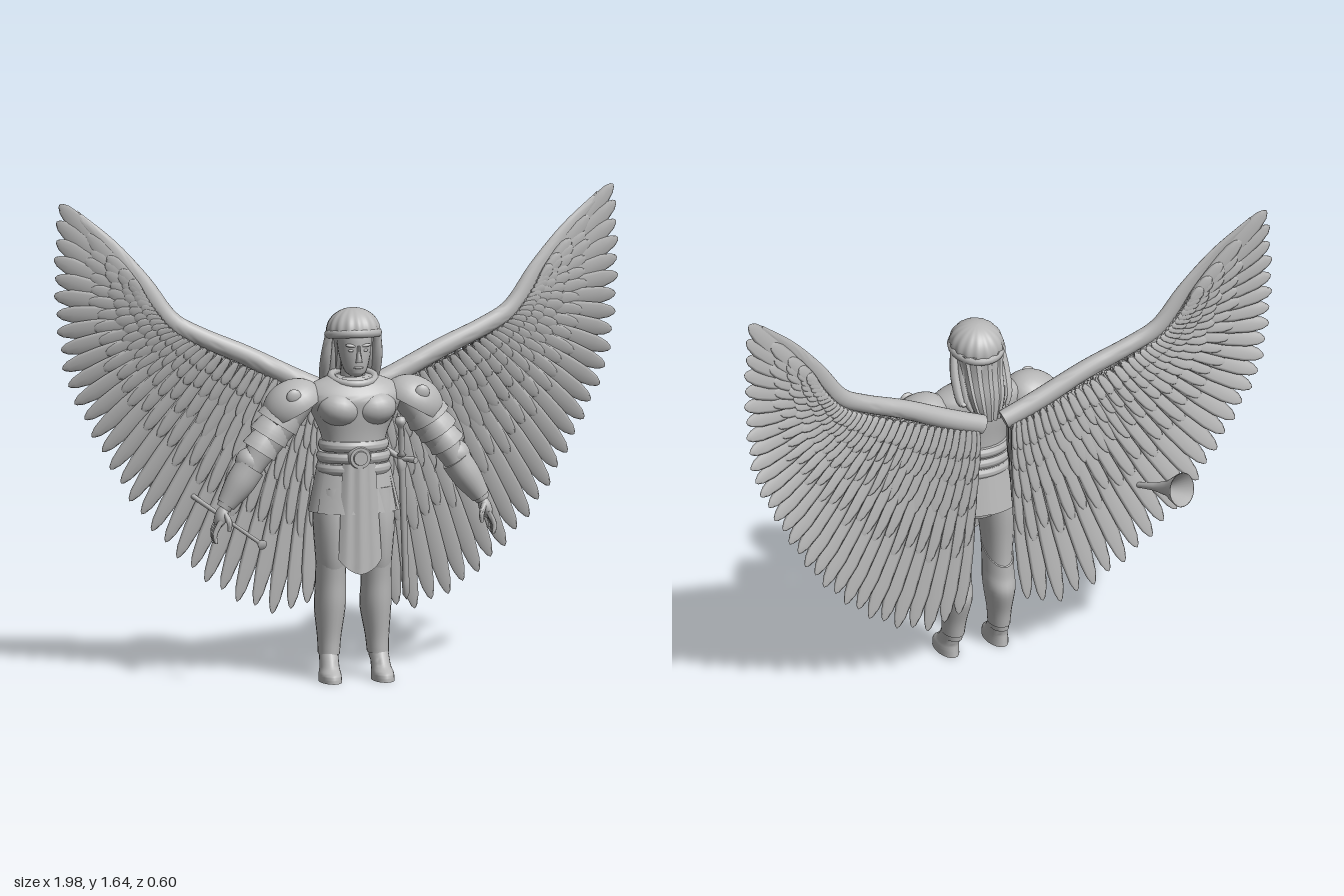
import * as THREE from 'three';
import { mergeGeometries, toCreasedNormals } from 'three/addons/utils/BufferGeometryUtils.js';

const V = (x, y, z) => new THREE.Vector3(x, y, z);
const V2 = (x, y) => new THREE.Vector2(x, y);

export function createModel() {
  const model = new THREE.Group();
  const stone = new THREE.MeshStandardMaterial({ color: 0xb8b8b8, side: THREE.DoubleSide });
  stone.name = 'stone grey';

  function add(name, geo, parent = model) {
    const m = new THREE.Mesh(geo, stone);
    m.name = name;
    parent.add(m);
    return m;
  }

  // Smooth loft through stations [x, y, z, rx, rz]; flat keeps every ring horizontal
  function loft(st, { flat = false, seg = 20, steps = 5, warp } = {}) {
    const path = new THREE.CatmullRomCurve3(st.map(p => V(p[0], p[1], p[2])), false, 'catmullrom');
    const radii = new THREE.CatmullRomCurve3(st.map(p => V(p[3], p[4] ?? p[3], 0)), false, 'catmullrom');
    const n = (st.length - 1) * steps, pos = [], idx = [];
    for (let j = 0; j <= n; j++) {
      const c = path.getPoint(j / n), r = radii.getPoint(j / n);
      const t = flat ? V(0, 1, 0) : path.getTangent(j / n);
      const side = t.clone().cross(V(0, 0, 1)).normalize(), fwd = side.clone().cross(t);
      for (let i = 0; i < seg; i++) {
        const a = i / seg * Math.PI * 2;
        const p = c.clone().addScaledVector(side, Math.cos(a) * r.x).addScaledVector(fwd, Math.sin(a) * r.y);
        if (warp) warp(p, j / n, a);
        pos.push(p.x, p.y, p.z);
        const k = j * seg + i, q = j * seg + (i + 1) % seg;
        if (j < n) idx.push(k, k + seg, q, q, k + seg, q + seg);
      }
    }
    for (const j of [0, n]) {
      const c = path.getPoint(j / n), id = pos.length / 3;
      pos.push(c.x, c.y, c.z);
      for (let i = 0; i < seg; i++) {
        const k = j * seg + i, q = j * seg + (i + 1) % seg;
        idx.push(id, j ? q : k, j ? k : q);
      }
    }
    const g = new THREE.BufferGeometry();
    g.setAttribute('position', new THREE.Float32BufferAttribute(pos, 3));
    g.setIndex(idx);
    return toCreasedNormals(g, 0.8);
  }

  function ball(name, p, r, rotZ = 0) {
    const m = add(name, new THREE.SphereGeometry(1, 20, 14));
    m.position.set(...p);
    m.scale.set(...r);
    m.rotation.z = rotZ;
    return m;
  }

  // Group whose +y axis runs from a to b
  function axis(name, a, b) {
    const g = new THREE.Group();
    g.name = name;
    g.position.copy(a);
    g.quaternion.setFromUnitVectors(V(0, 1, 0), b.clone().sub(a).normalize());
    model.add(g);
    return g;
  }
  const lathe = (pts, seg = 20) => new THREE.LatheGeometry(pts.map(p => V2(...p)), seg);

  // Torso, cuirass and belt
  add('torso', loft([[0, .55, .095, .07, .07], [0, .62, .095, .125, .085], [0, .72, .095, .12, .09], [0, .8, .1, .108, .085],
    [0, .86, .1, .118, .088], [0, .93, .1, .15, .097], [0, .98, .1, .168, .1], [0, 1.02, .09, .15, .085],
    [0, 1.05, .085, .085, .06]], { flat: true, seg: 32 }));
  for (const s of [-1, 1]) ball('chestPlate', [s * .06, .945, .145], [.078, .062, .072], s * .15);
  const collar = add('collar', new THREE.TorusGeometry(.075, .014, 8, 28));
  collar.position.set(0, 1.045, .09);
  collar.rotation.x = Math.PI / 2 + .2;
  [[.735, .124], [.775, .122], [.815, .116]].forEach(([y, r], i) =>
    add('belt' + i, loft([[0, y - .018, .097, r, .094], [0, y, .097, r + .007, .102], [0, y + .018, .097, r, .094]],
      { flat: true, seg: 32 })));
  for (const [r, z] of [[.042, .197], [.028, .205]]) {
    const b = add('buckle', new THREE.CylinderGeometry(r * .85, r, .022, 24));
    b.position.set(0, .78, z);
    b.rotation.x = Math.PI / 2;
  }

  // Flared skirt panels around the hips and the long front tabard
  for (let i = 0; i < 6; i++) {
    const g = new THREE.CylinderGeometry(.122, .157 + (i % 2) * .006, .18, 10, 3, true, i * Math.PI / 3 + .02, Math.PI / 3 + .04);
    const m = add('skirtPanel', g);
    m.position.set(0, .675, .093);
    m.scale.z = .71;
  }
  const cloth = new THREE.PlaneGeometry(1, 1, 16, 10), cp = cloth.attributes.position;
  for (let i = 0; i < cp.count; i++) {
    const u = cp.getX(i) * 2, t = .5 - cp.getY(i);
    cp.setXYZ(i, u * (.058 + .018 * t), .76 - t * (.38 - .05 * u * u), .203 + .018 * t - .018 * u * u + .003 * Math.cos(u * 9));
  }
  cloth.computeVertexNormals();
  add('tabard', cloth);

  // Legs, greaves and feet
  for (const s of [-1, 1]) {
    add('leg', loft([[s * .07, .67, .095, .062, .085], [s * .078, .55, .1, .063, .088], [s * .08, .43, .1, .053, .078],
      [s * .08, .34, .09, .047, .066], [s * .08, .25, .083, .048, .07], [s * .085, .15, .09, .036, .052],
      [s * .087, .07, .095, .031, .043]], { flat: true }));
    add('greave', loft([[s * .086, .09, .095, .037, .051], [s * .084, .15, .09, .041, .057], [s * .08, .25, .083, .053, .077],
      [s * .08, .32, .09, .052, .074], [s * .08, .385, .097, .052, .078]],
      { flat: true, warp: (p, t) => { p.y += t * t * (p.z - .09) * .65; } }));
    add('foot', loft([[s * .092, 0, .142, .038, .076], [s * .092, .025, .14, .037, .072], [s * .09, .05, .122, .033, .054],
      [s * .088, .1, .097, .032, .045]], { flat: true }));
  }

  // Arms, layered shoulder armour and hands
  for (const s of [-1, 1]) {
    add('arm', loft([[s * .19, .985, .09, .065], [s * .27, .87, .09, .058], [s * .35, .76, .09, .045],
      [s * .385, .71, .09, .046], [s * .455, .605, .092, .026]]));
    add('vambrace', loft([[s * .36, .745, .09, .052], [s * .4, .685, .09, .05], [s * .447, .617, .092, .033]]));
    const dome = add('pauldron', new THREE.SphereGeometry(1, 28, 10, 0, Math.PI * 2, 0, Math.PI * .55));
    dome.position.set(s * .21, .95, .09);
    dome.scale.set(.11, .09, .097);
    dome.rotation.z = -s * .5;
    for (let k = 0; k < 3; k++) {
      const x = .232 + k * .032, y = .945 - k * .047, r = .075 - k * .007;
      add('armPlate' + k, loft([[s * x, y, .09, r - .012], [s * (x + .02), y - .03, .09, r - .002], [s * (x + .035), y - .053, .09, r + .003]]));
    }
    ball('pauldronStud', [s * .225, .995, .168], [.026, .026, .012]);
    ball('elbowGuard', [s * .36, .76, .085], [.052, .052, .05]);
    ball('palm', [s * .463, .577, .092], [.022, .042, .034], s * .35);
    for (let f = 0; f < 4; f++) {
      const z = .117 - f * .017, l = f === 3 ? .8 : 1;
      add('finger', loft([[s * .468, .565, z, .0095], [s * (.468 + .022 * l), .565 - .045 * l, z, .009],
        [s * (.468 + .018 * l), .565 - .078 * l, z + .004, .005]], { seg: 8, steps: 3 }));
    }
    add('thumb', loft([[s * .455, .59, .115, .01], [s * .442, .56, .13, .01], [s * .443, .53, .13, .006]], { seg: 8, steps: 3 }));
  }

  // Head and face
  add('neck', loft([[0, 1.02, .075, .046, .046], [0, 1.1, .09, .038, .044]], { flat: true }));
  add('head', loft([[0, 1.055, .135, .018, .028], [0, 1.072, .127, .037, .048], [0, 1.11, .116, .05, .064], [0, 1.15, .11, .057, .07],
    [0, 1.2, .1, .059, .078], [0, 1.245, .1, .045, .06]], { flat: true }));
  add('nose', loft([[0, 1.108, .182, .012, .011], [0, 1.125, .182, .009, .012], [0, 1.165, .178, .005, .008]], { flat: true, seg: 10 }));
  ball('mouth', [0, 1.089, .173], [.018, .005, .007]);
  for (const s of [-1, 1]) {
    ball('eye', [s * .024, 1.148, .17], [.011, .005, .007]);
    ball('brow', [s * .025, 1.165, .171], [.021, .006, .009], s * .12);
  }

  // Combed hair, band and falling locks
  const cap = new THREE.SphereGeometry(1, 112, 16, 0, Math.PI * 2, 0, Math.PI * .56), hp = cap.attributes.position;
  for (let i = 0; i < hp.count; i++) {
    const x = hp.getX(i), z = hp.getZ(i), k = 1 + .022 * Math.cos(Math.atan2(z, x) * 16) * Math.hypot(x, z);
    hp.setXYZ(i, x * k, hp.getY(i), z * k);
  }
  cap.computeVertexNormals();
  const hair = add('hairTop', cap);
  hair.position.set(0, 1.205, .093);
  hair.scale.set(.092, .08, .098);
  hair.rotation.x = -.12;
  const band = add('headband', new THREE.TorusGeometry(.086, .013, 10, 40));
  band.position.set(0, 1.195, .092);
  band.rotation.x = Math.PI / 2 - .15;
  band.scale.set(1, 1.06, 1.2);
  add('backHair', loft([[0, .96, -.018, .04, .014], [0, 1.04, .004, .066, .03], [0, 1.12, .04, .074, .046], [0, 1.2, .06, .084, .06]],
    { flat: true, seg: 48, warp: (p, t, a) => { p.z -= .005 * Math.cos(a * 12); } }));
  for (let i = 0; i < 9; i++) {
    const u = i / 4 - 1, e = Math.abs(u), drop = .95 + .02 * (i % 3) + .03 * e;
    add('hairLock', loft([[u * .085, 1.19, .02 + .07 * e, .014], [u * .09, 1.11, .01 + .055 * e, .019], [u * .088, 1.03, -.01 + .035 * e, .016],
      [u * .075, drop, -.025 + .03 * e, .004]], { seg: 10, steps: 4 }));
  }

  // Wings: feathers run from a bone curve to an outline curve in overlapping rows
  const quill = lathe([[0, 0], [.5, .03], [.78, .25], [1, .65], [.92, .83], [.62, .94], [.3, .985], [0, 1]], 8);
  const bases = new THREE.SplineCurve([V2(.07, .96), V2(.18, 1.0), V2(.32, 1.06), V2(.47, 1.13), V2(.58, 1.19), V2(.65, 1.26), V2(.7, 1.33)]);
  const tips = new THREE.SplineCurve([V2(.13, .24), V2(.21, .205), V2(.3, .22), V2(.43, .285), V2(.57, .4), V2(.7, .55), V2(.81, .73),
    V2(.91, .92), V2(.955, 1.03), V2(.985, 1.24), V2(.99, 1.43), V2(.975, 1.64)]);
  const depth = x => -.045 - .03 * x - .1 * x * x;
  const rows = [['flightFeathers', 30, 1, .034, 0], ['longCoverts', 30, .64, .028, .009], ['middleCoverts', 32, .43, .025, .017],
    ['shortCoverts', 34, .27, .022, .023], ['scapularFeathers', 34, .15, .018, .027]];
  for (const s of [-1, 1]) {
    const wing = new THREE.Group();
    wing.name = s > 0 ? 'leftWing' : 'rightWing';
    model.add(wing);
    for (const [name, n, frac, w, off] of rows) {
      const list = [];
      for (const f of off ? [-1, 1] : [1]) for (let i = 0; i < n; i++) {
        const t = i / (n - 1), b = bases.getPoint(t), e = tips.getPointAt(t);
        const len = frac * (off ? 1 + .06 * Math.sin(i * 2.4) : 1 - .015 * (i % 2));
        const B = V(s * b.x, b.y, depth(b.x) + f * off);
        const T = V(s * e.x, e.y, depth(e.x) + f * off * .4).sub(B).multiplyScalar(len);
        const L = T.length(), y = T.normalize();
        const x = y.clone().cross(V(0, 0, 1)).normalize(), z = x.clone().cross(y);
        const m = new THREE.Matrix4().makeBasis(x, y, z).setPosition(B);
        m.multiply(new THREE.Matrix4().makeRotationY(s * .22)).scale(V(w, L, w * .2));
        list.push(quill.clone().applyMatrix4(m));
      }
      add(name, mergeGeometries(list), wing);
    }
    add('wingArm', loft([[.04, .965, .035, .03], [.17, 1.02, .036, .032], [.34, 1.105, .034, .03], [.5, 1.175, .032, .026],
      [.6, 1.235, .032, .022], [.69, 1.36, .03, .014], [.8, 1.49, .024, .008], [.92, 1.605, .012, .004]]
      .map(([x, y, rx, rz]) => [s * x, y, depth(x), rx, rz])), wing);
  }

  // Sheathed sword on the left hip
  const sword = axis('sword', V(.145, .9, .185), V(.21, .25, -.01));
  add('swordGrip', lathe([[0, -.02], [.016, -.012], [.02, .002], [.012, .018], [.009, .03], [.012, .07], [.009, .12], [.016, .13], [0, .14]]), sword);
  const guard = add('crossGuard', loft([[-.065, .13, 0, .012], [0, .14, 0, .009], [.065, .13, 0, .012]], { seg: 10 }), sword);
  guard.rotation.y = .3;
  add('scabbard', lathe([[0, .14], [.022, .14], [.022, .18], [.018, .185], [.016, .6], [.02, .61], [.018, .66], [0, .685]]), sword).scale.x = .6;

  // Long horn in the right hand
  const horn = axis('horn', V(-.36, .505, .285), V(-.605, .68, -.285));
  add('hornTube', lathe([[0, 0], [.017, 0], [.016, .008], [.007, .025], [.0065, .2], [.009, .42], [.014, .51], [.027, .575], [.06, .64],
    [.056, .64], [.022, .575], [.008, .51], [0, .5]], 28), horn);
  return model;
}
